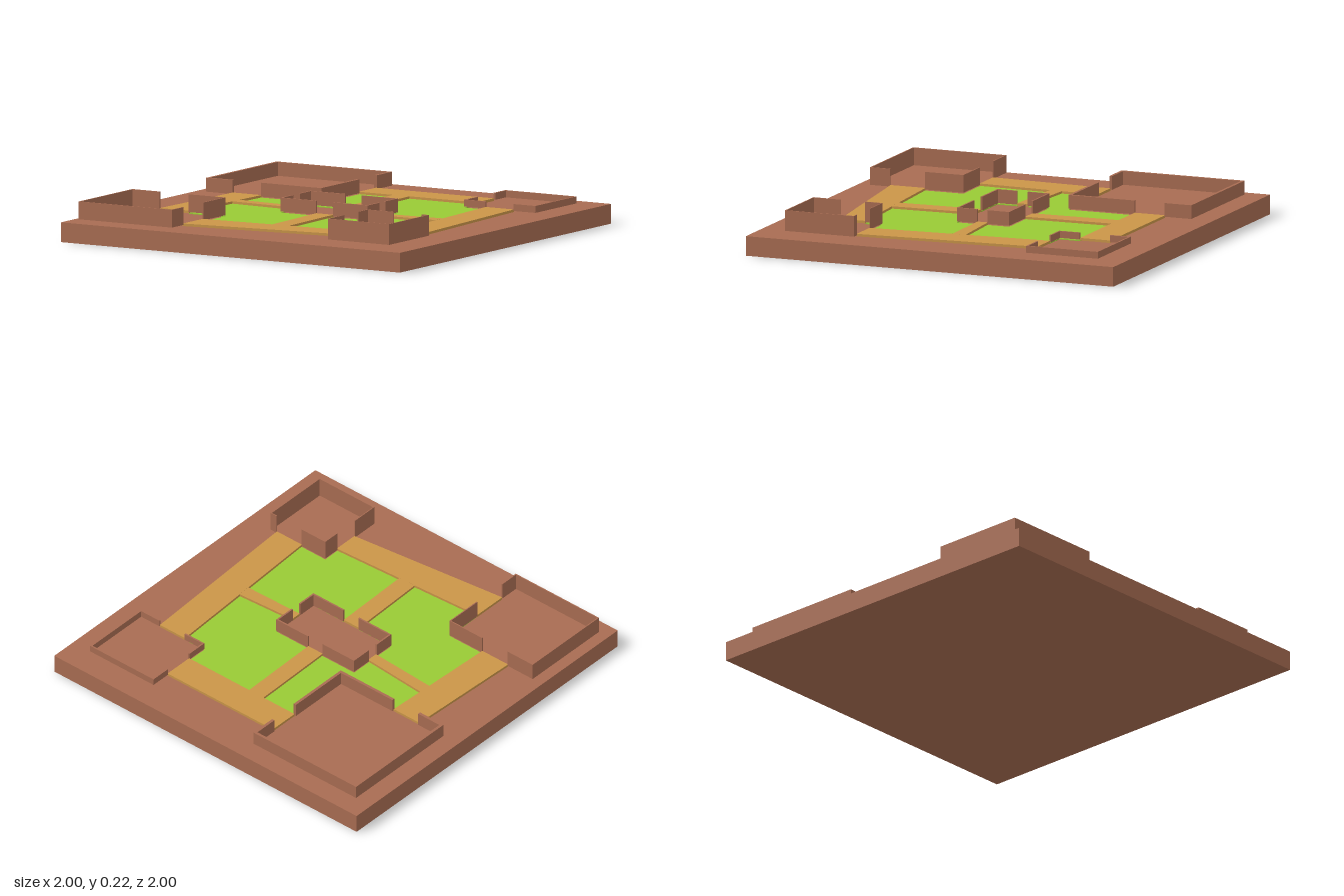
import * as THREE from 'three';

const clay = new THREE.MeshStandardMaterial({ color: 0xa86c52 });
clay.name = 'clay';
const sand = new THREE.MeshStandardMaterial({ color: 0xca9548 });
sand.name = 'sand';
const grass = new THREE.MeshStandardMaterial({ color: 0x98ca35 });
grass.name = 'grass';

function addBox(parent, name, material, x0, x1, y0, y1, z0, z1) {
  const mesh = new THREE.Mesh(new THREE.BoxGeometry(x1 - x0, y1 - y0, z1 - z0), material);
  mesh.position.set((x0 + x1) / 2, (y0 + y1) / 2, (z0 + z1) / 2);
  mesh.name = name;
  parent.add(mesh);
}

// Flat slab from a ground outline of [x, z] corners
function addSlab(parent, name, material, corners, y0, y1) {
  const shape = new THREE.Shape(corners.map(([x, z]) => new THREE.Vector2(x, -z)));
  const geometry = new THREE.ExtrudeGeometry(shape, { depth: y1 - y0, bevelEnabled: false });
  geometry.rotateX(-Math.PI / 2).translate(0, y0, 0);
  const mesh = new THREE.Mesh(geometry, material);
  mesh.name = name;
  parent.add(mesh);
}

// Roofless room: thin walls, each optionally interrupted by a doorway [from, to]
function addRoom(parent, { name, x, z, top, t, doors }) {
  const room = new THREE.Group();
  room.name = name;
  const bottom = 0.11;
  const spans = (a, b, door) => (door ? [[a, door[0]], [door[1], b]] : [[a, b]]);
  for (const [side, z0] of [['back', z[0]], ['front', z[1] - t]]) {
    for (const [a, b] of spans(x[0], x[1], doors[side])) {
      addBox(room, side + 'Wall', clay, a, b, bottom, top, z0, z0 + t);
    }
  }
  for (const [side, x0] of [['right', x[0]], ['left', x[1] - t]]) {
    for (const [a, b] of spans(z[0] + t, z[1] - t, doors[side])) {
      addBox(room, side + 'Wall', clay, x0, x0 + t, bottom, top, a, b);
    }
  }
  parent.add(room);
}

export function createModel() {
  const model = new THREE.Group();
  model.name = 'walledGarden';

  addBox(model, 'base', clay, -1, 1, 0, 0.1, -1, 1);

  // Four corner rooms and the central pavilion (sides named from the model's own view)
  const rooms = [
    { name: 'backRightRoom', x: [-0.91, -0.23], z: [-0.9, -0.23], top: 0.18, t: 0.015,
      doors: { left: [-0.755, -0.59], front: [-0.755, -0.585] } },
    { name: 'backLeftRoom', x: [0.46, 0.88], z: [-0.865, -0.475], top: 0.145, t: 0.009,
      doors: { right: [-0.755, -0.59], front: [0.585, 0.75] } },
    { name: 'frontRightRoom', x: [-0.945, -0.395], z: [0.412, 0.92], top: 0.2, t: 0.006,
      doors: { left: [0.62, 0.81], back: [-0.78, -0.61] } },
    { name: 'frontLeftRoom', x: [0.483, 0.845], z: [0.477, 0.853], top: 0.215, t: 0.005,
      doors: { right: [0.57, 0.705], back: [0.64, 0.805] } },
    { name: 'centralPavilion', x: [-0.23, 0.285], z: [-0.128, 0.157], top: 0.18, t: 0.009,
      doors: { back: [-0.02, 0.075], front: [-0.02, 0.08], right: [-0.013, 0.046], left: [-0.01, 0.046] } },
  ];
  rooms.forEach((room) => addRoom(model, room));

  // Outer walks between the corner rooms, then the cross walks to the pavilion
  const paths = {
    backWalk: [[-0.235, -0.755], [0.462, -0.755], [0.462, -0.59], [-0.235, -0.59]],
    rightWalk: [[-0.755, -0.235], [-0.585, -0.235], [-0.61, 0.415], [-0.78, 0.415]],
    frontWalk: [[-0.4, 0.81], [-0.4, 0.62], [0.487, 0.57], [0.487, 0.705]],
    leftWalk: [[0.585, -0.48], [0.75, -0.48], [0.805, 0.48], [0.64, 0.48]],
    backCrossWalk: [[-0.03, -0.59], [0.065, -0.59], [0.075, -0.125], [-0.02, -0.125]],
    frontCrossWalk: [[-0.02, 0.153], [0.08, 0.153], [0.093, 0.592], [-0.005, 0.597]],
    rightCrossWalk: [[-0.594, -0.04], [-0.225, -0.013], [-0.225, 0.046], [-0.596, 0.025]],
    leftCrossWalk: [[0.28, -0.01], [0.61, -0.03], [0.614, 0.04], [0.28, 0.046]],
  };
  for (const [name, corners] of Object.entries(paths)) {
    addSlab(model, name, sand, corners, 0.104, 0.117);
  }

  // Sunken lawns between the walks
  const lawns = {
    backRightLawn: [[-0.23, -0.59], [-0.03, -0.59], [-0.02, -0.128], [-0.23, -0.128],
      [-0.23, -0.013], [-0.594, -0.04], [-0.585, -0.23], [-0.23, -0.23]],
    backLeftLawn: [[0.065, -0.59], [0.46, -0.59], [0.46, -0.475], [0.585, -0.475],
      [0.61, -0.03], [0.285, -0.01], [0.285, -0.128], [0.075, -0.128]],
    frontRightLawn: [[-0.596, 0.025], [-0.23, 0.046], [-0.23, 0.157], [-0.02, 0.157],
      [-0.005, 0.597], [-0.395, 0.62], [-0.395, 0.412], [-0.61, 0.412]],
    frontLeftLawn: [[0.285, 0.046], [0.614, 0.04], [0.64, 0.477], [0.483, 0.477],
      [0.483, 0.57], [0.093, 0.592], [0.08, 0.157], [0.285, 0.157]],
  };
  for (const [name, corners] of Object.entries(lawns)) {
    addSlab(model, name, grass, corners, 0.1, 0.105);
  }

  return model;
}
